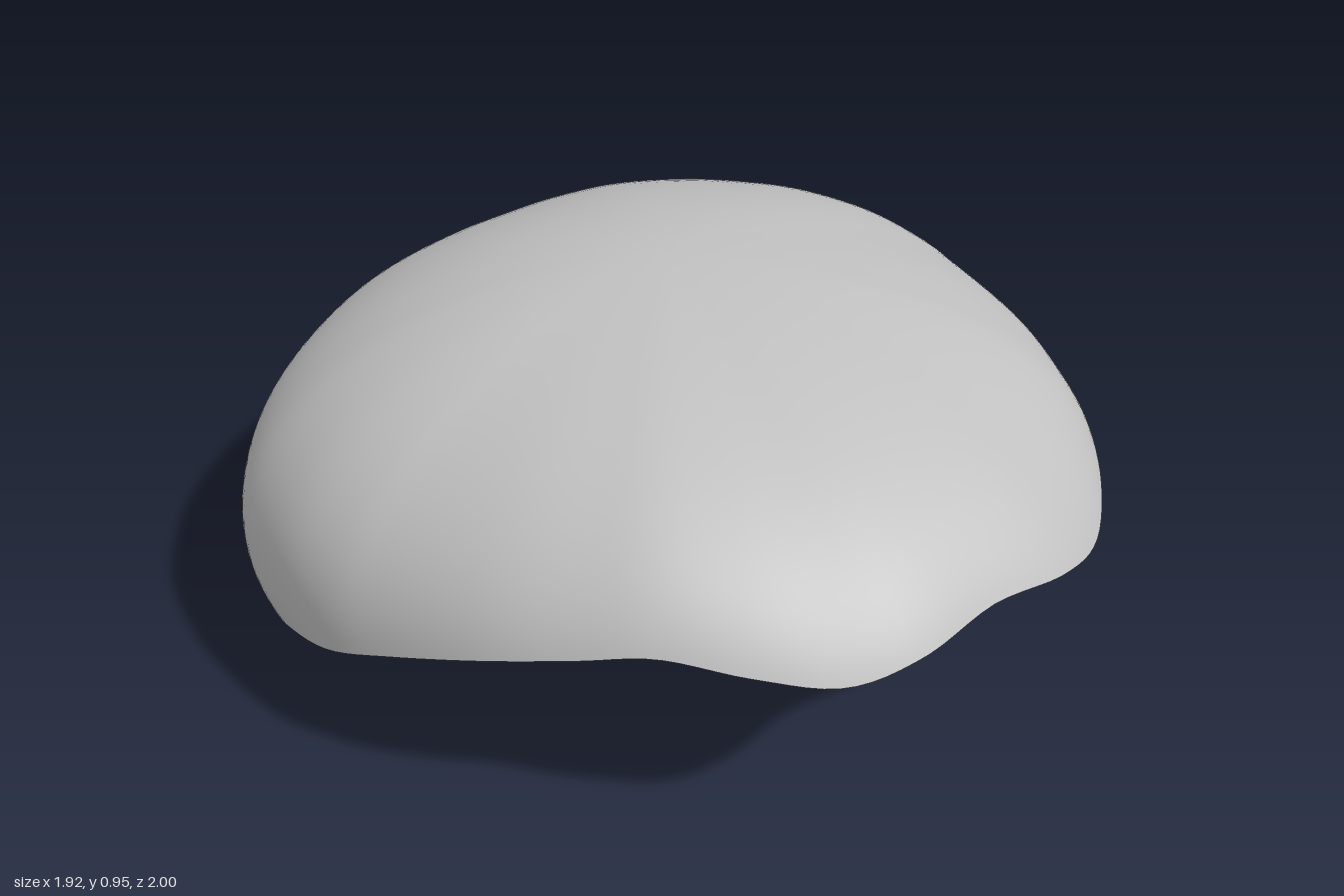
import * as THREE from 'three';

// Half of the open rim, front centre to back centre on the left side: x, y, z,
// the angle (degrees from the crown) the wall reaches there, and its roundness
// (1 is an ellipse, less is fuller).
const RIM = [
  [0, 0.60, 0.991, 74, 1.0], [0.2, 0.577, 0.998, 74, 1.0], [0.36, 0.555, 0.95, 75, 0.97],
  [0.5, 0.58, 0.84, 76, 0.93], [0.62, 0.60, 0.70, 78, 0.9], [0.72, 0.563, 0.57, 80, 0.88],
  [0.825, 0.505, 0.4, 83, 0.87], [0.91, 0.42, 0.19, 87, 0.87], [0.955, 0.335, 0, 92, 0.87],
  [0.945, 0.26, -0.2, 99, 0.89], [0.875, 0.14, -0.4, 108, 0.93], [0.75, 0.055, -0.55, 115, 0.98],
  [0.59, 0.015, -0.67, 120, 1.02], [0.38, 0.003, -0.79, 121.5, 1.04], [0.18, 0, -0.86, 120, 1.05],
  [0, 0, -0.88, 119, 1.05],
];
const CROWN = new THREE.Vector3(0, 0.95, -0.05);
const AROUND = 160, DOWN = 40;

const curve = (points) => new THREE.CatmullRomCurve3(points, true, 'catmullrom');
const bulge = (angle, power) => Math.sign(Math.cos(angle)) * Math.abs(Math.cos(angle)) ** power;

function domeGeometry() {
  const mirrored = RIM.slice(1, -1).reverse().map(([x, ...rest]) => [-x, ...rest]);
  const loop = [...RIM, ...mirrored];
  const rim = curve(loop.map(([x, y, z]) => new THREE.Vector3(x, y, z)));
  const wall = curve(loop.map((p) => new THREE.Vector3(THREE.MathUtils.degToRad(p[3]), p[4], 0)));

  // Each meridian is a rounded arc from the crown to its rim point
  const positions = [CROWN.x, CROWN.y, CROWN.z];
  for (let j = 1; j <= DOWN; j++) {
    for (let i = 0; i < AROUND; i++) {
      const end = rim.getPoint(i / AROUND);
      const { x: endAngle, y: power } = wall.getPoint(i / AROUND);
      const c = bulge(endAngle, power);
      const waist = (end.y - CROWN.y * c) / (1 - c);
      const angle = endAngle * j / DOWN;
      const out = Math.sin(angle) / Math.sin(endAngle);
      positions.push(
        end.x * out,
        waist + (CROWN.y - waist) * bulge(angle, power),
        CROWN.z + (end.z - CROWN.z) * out,
      );
    }
  }

  // Fan at the crown, then quads between rings
  const index = [];
  const at = (j, i) => 1 + (j - 1) * AROUND + (i % AROUND);
  for (let i = 0; i < AROUND; i++) {
    index.push(0, at(1, i), at(1, i + 1));
    for (let j = 1; j < DOWN; j++) {
      const a = at(j, i), b = at(j, i + 1), d = at(j + 1, i), e = at(j + 1, i + 1);
      index.push(a, d, e, a, e, b);
    }
  }
  const geometry = new THREE.BufferGeometry();
  geometry.setAttribute('position', new THREE.Float32BufferAttribute(positions, 3));
  geometry.setIndex(index);
  geometry.computeVertexNormals();
  return geometry;
}

export function createModel() {
  const group = new THREE.Group();
  group.name = 'cap';
  const grey = new THREE.MeshStandardMaterial({ color: 0xc0c0c0, side: THREE.DoubleSide });
  grey.name = 'light grey';
  const shell = new THREE.Mesh(domeGeometry(), grey);
  shell.name = 'capShell';
  group.add(shell);
  return group;
}
